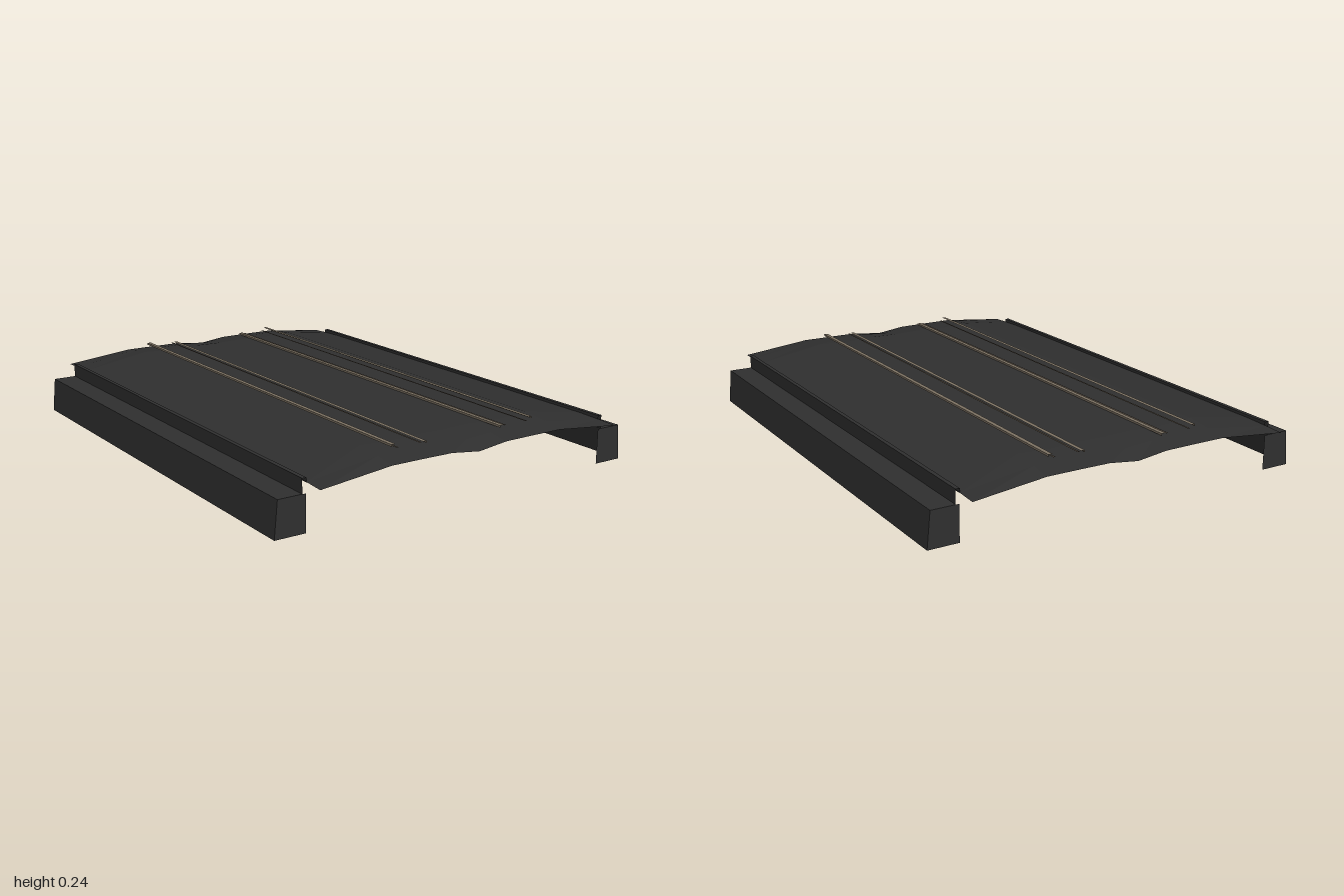
import * as THREE from 'three';

const mat = (name, color) => {
  const m = new THREE.MeshStandardMaterial({ color, side: THREE.DoubleSide });
  m.name = name;
  return m;
};

// Faceted sheet lofted through rows of equally many [x, y, z] points
function loft(name, rows, material) {
  const pos = [];
  for (let r = 0; r < rows.length - 1; r++) {
    for (let i = 0; i < rows[r].length - 1; i++) {
      const a = rows[r][i], b = rows[r][i + 1], c = rows[r + 1][i + 1], d = rows[r + 1][i];
      pos.push(...a, ...b, ...c, ...a, ...c, ...d);
    }
  }
  const g = new THREE.BufferGeometry();
  g.setAttribute('position', new THREE.Float32BufferAttribute(pos, 3));
  g.computeVertexNormals();
  const mesh = new THREE.Mesh(g, material);
  mesh.name = name;
  return mesh;
}

const row = (profile, z) => profile.map(([x, y]) => [x, y, z]);

// Sheet with a constant profile along z, drawn left to right so it faces up
function strip(name, profile, halfLength, material) {
  const p = profile[0][0] < profile[profile.length - 1][0] ? profile : [...profile].reverse();
  return loft(name, [row(p, halfLength), row(p, -halfLength)], material);
}

export function createModel() {
  const model = new THREE.Group();
  model.name = 'bridgeDeck';
  const asphalt = mat('asphalt', 0x2f2f2f);
  const railTan = mat('railTan', 0x7d7263);
  const railBrown = mat('railBrown', 0x4a4138);
  const L = 0.917;

  // Deck: raised crown that droops at both ends
  const mirrorProfile = half => [...half.slice(1).reverse().map(([x, y]) => [-x, y]), ...half];
  const middle = mirrorProfile([[0, 0.221], [0.12, 0.223], [0.24, 0.219], [0.37, 0.225], [0.65, 0.178]]);
  const end = mirrorProfile([[0, 0.185], [0.12, 0.2], [0.24, 0.201], [0.37, 0.201], [0.65, 0.171]]);
  const near = middle.map(([x, y], i) => [x, y * 0.55 + end[i][1] * 0.45]);
  model.add(loft('deck', [
    row(end, 1), row(near, 0.92), row(middle, 0.82),
    row(middle, -0.82), row(near, -0.92), row(end, -1),
  ], asphalt));

  for (const s of [-1, 1]) {
    // Kerb and side beam: one folded sheet, open below and on the inside
    const side = new THREE.Group();
    side.name = s > 0 ? 'leftSide' : 'rightSide';
    const fold = [[0.648, 0.172], [0.648, 0.189], [0.664, 0.189], [0.664, 0.136], [0.757, 0.136], [0.77, 0]];
    side.add(strip('kerbAndBeam', fold.map(([x, y]) => [s * x, y]), L, asphalt));
    // Beam end plates
    const plate = new THREE.Shape([[0.65, 0], [0.77, 0], [0.757, 0.136], [0.65, 0.136]]
      .map(([x, y]) => new THREE.Vector2(s * x, y)));
    for (const e of [-1, 1]) {
      const cap = new THREE.Mesh(new THREE.ShapeGeometry(plate), asphalt);
      cap.name = 'beamEnd';
      cap.position.z = e * L;
      if (e < 0) cap.geometry.scale(-1, 1, 1).rotateY(Math.PI);
      side.add(cap);
    }
    model.add(side);

    // Track: two rails, each with a dark guard strip on the gauge side
    const track = new THREE.Group();
    track.name = s > 0 ? 'leftTrack' : 'rightTrack';
    for (const [x, y, d] of [[0.303, 0.24, -1], [0.172, 0.229, 1]]) {
      const rail = [[x - d * 0.008, y - 0.008], [x - d * 0.008, y], [x + d * 0.008, y]];
      track.add(strip('rail', rail.map(([px, py]) => [s * px, py]), L, railTan));
      const guard = [[x + d * 0.012, 0.2265], [x + d * 0.021, 0.2265]];
      track.add(strip('guardStrip', guard.map(([px, py]) => [s * px, py]), L, railBrown));
    }
    model.add(track);
  }
  return model;
}
